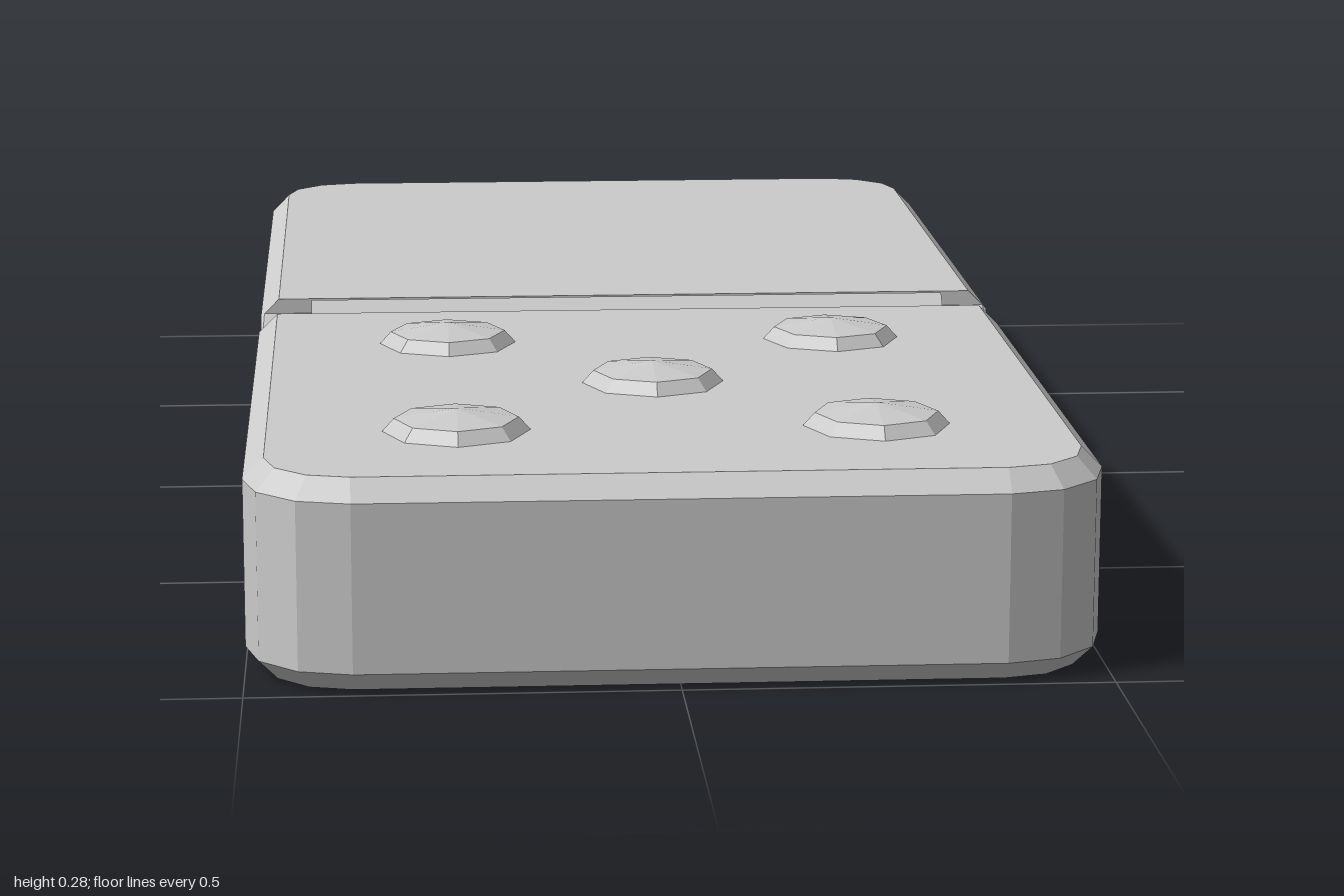
import * as THREE from 'three';

const H = 0.25, BEVEL = 0.025, RADIUS = 0.125;
const material = new THREE.MeshStandardMaterial({ color: 0xcccccc, flatShading: true });

// Bevelled, rounded slab with a V groove: sections lofted from front to back
function tileGeometry() {
  const half = [];
  for (let i = 0; i <= 3; i++) {
    const a = Math.PI / 2 - (i * Math.PI) / 6;
    const nx = Math.cos(a), nz = Math.sin(a);
    half.push({ x: 0.5 - RADIUS + RADIUS * nx, z: 1 - RADIUS + RADIUS * nz, nx, nz, top: H });
  }
  // Groove lip, lower end of its short upright wall
  for (const top of [H, 0.23]) half.push({ x: 0.5, z: 0.05, nx: 1, nz: 0, top });
  const middle = { x: 0.5, z: 0, nx: 1, nz: 0, top: 0.18 };
  const back = half.map((s) => ({ ...s, z: -s.z, nz: -s.nz })).reverse();

  // Each section is a loop: up the right side, down the left side
  const sections = [...half, middle, ...back].map((s) => {
    const right = [0, BEVEL, H - BEVEL, H].map((level) => {
      const y = Math.min(level, s.top);
      const inset = Math.max(0, BEVEL - y, y - (H - BEVEL));
      return [s.x - s.nx * inset, y, s.z - s.nz * inset];
    });
    return [...right, ...right.map(([x, y, z]) => [-x, y, z]).reverse()];
  });

  const pos = [];
  const quad = (a, b, c, d) => pos.push(...a, ...b, ...c, ...a, ...c, ...d);
  for (let s = 0; s < sections.length - 1; s++) {
    const p = sections[s], q = sections[s + 1];
    for (let k = 0; k < 8; k++) {
      const n = (k + 1) % 8;
      quad(p[k], q[k], q[n], p[n]);
    }
  }
  // Front and back ends
  const f = sections[0], b = sections[sections.length - 1];
  for (let k = 0; k < 3; k++) {
    quad(f[k], f[k + 1], f[6 - k], f[7 - k]);
    quad(b[k], b[7 - k], b[6 - k], b[k + 1]);
  }
  const geometry = new THREE.BufferGeometry();
  geometry.setAttribute('position', new THREE.Float32BufferAttribute(pos, 3));
  geometry.computeVertexNormals();
  return geometry;
}

export function createModel() {
  const group = new THREE.Group();
  group.name = 'domino';
  const add = (name, geometry, x, y, z) => {
    const mesh = new THREE.Mesh(geometry, material);
    mesh.name = name;
    mesh.position.set(x, y, z);
    group.add(mesh);
    return mesh;
  };

  add('tile', tileGeometry(), 0, 0, 0);

  // Square bar lying on its edge in the groove
  const bar = add('dividerBar', new THREE.CylinderGeometry(0.029, 0.029, 0.86, 4), 0, 0.229, 0);
  bar.rotation.z = Math.PI / 2;

  // Five raised pips on the front half
  const profile = [[0.088, 0], [0.074, 0.0155], [0, 0.027]].map(([r, y]) => new THREE.Vector2(r, y));
  const pip = new THREE.LatheGeometry(profile, 8);
  for (const [x, z] of [[-0.25, 0.25], [0.25, 0.25], [0, 0.5], [-0.25, 0.75], [0.25, 0.75]]) {
    add('pip', pip, x, H, z);
  }
  return group;
}
